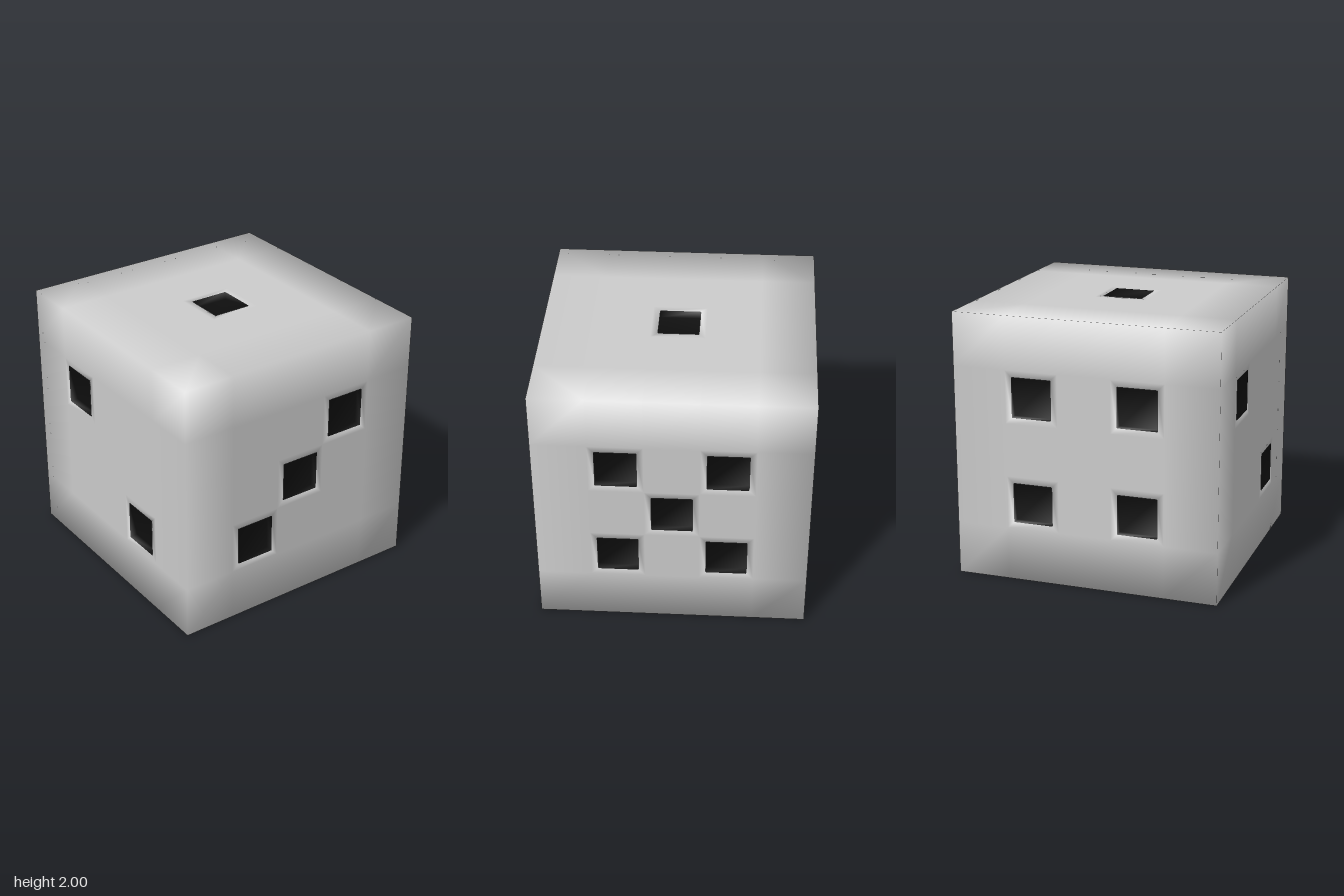
import * as THREE from 'three';
import { mergeVertices } from 'three/addons/utils/BufferGeometryUtils.js';

const GRID = [-1, -0.6, -0.2, 0.2, 0.6, 1]; // lines dividing each face into cells
const HALF = 0.15; // half the width of a pip
const DEPTH = 0.06; // depth of a pip

// Each face: right, up and outward directions, and its pips as [column, row] from -1 to 1
const FACES = [
  { u: [1, 0, 0], v: [0, 1, 0], n: [0, 0, 1], pips: [[-1, -1], [0, 0], [1, 1]] }, // front
  { u: [0, 0, -1], v: [0, 1, 0], n: [1, 0, 0], pips: [[-1, -1], [1, -1], [0, 0], [-1, 1], [1, 1]] }, // +x side
  { u: [1, 0, 0], v: [0, 0, -1], n: [0, 1, 0], pips: [[0, 0]] }, // top
  { u: [-1, 0, 0], v: [0, 1, 0], n: [0, 0, -1], pips: [[-1, -1], [1, -1], [-1, 1], [1, 1]] }, // back
  { u: [0, 0, 1], v: [0, 1, 0], n: [-1, 0, 0], pips: [[-1, 1], [1, -1]] }, // -x side
  { u: [1, 0, 0], v: [0, 0, 1], n: [0, -1, 0], pips: [[-1, -1], [-1, 0], [-1, 1], [1, -1], [1, 0], [1, 1]] }, // bottom
];

// Corners of a square, counter-clockwise as seen from outside
const square = (u0, u1, v0, v1, d) => [[u0, v0, d], [u1, v0, d], [u1, v1, d], [u0, v1, d]];

export function createModel() {
  const body = [], pips = [];

  for (const { u, v, n, pips: spots } of FACES) {
    const point = ([a, b, d]) => [0, 1, 2].map((k) => u[k] * a + v[k] * b + n[k] * d + (k === 1 ? 1 : 0));
    const quad = (out, a, b, c, d) => {
      for (const p of [a, b, c, a, c, d]) out.push(...point(p));
    };
    // Four quads joining one square loop to the next
    const bridge = (out, outer, inner) => {
      for (let i = 0; i < 4; i++) {
        const j = (i + 1) % 4;
        quad(out, outer[i], outer[j], inner[j], inner[i]);
      }
    };

    for (let i = 0; i < 5; i++) {
      for (let j = 0; j < 5; j++) {
        const cell = square(GRID[i], GRID[i + 1], GRID[j], GRID[j + 1], 1);
        if (!spots.some(([c, r]) => c === i - 2 && r === j - 2)) {
          quad(body, ...cell);
          continue;
        }
        // Flat rim, then the sunken walls and floor of the pip
        const x = (i - 2) * 0.4, y = (j - 2) * 0.4;
        const rim = square(x - HALF, x + HALF, y - HALF, y + HALF, 1);
        const floor = square(x - HALF, x + HALF, y - HALF, y + HALF, 1 - DEPTH);
        bridge(body, cell, rim);
        bridge(pips, rim, floor);
        quad(pips, ...floor);
      }
    }
  }

  // Weld everything so the shading runs smoothly over edges and pip rims
  let whole = new THREE.BufferGeometry();
  whole.setAttribute('position', new THREE.Float32BufferAttribute([...body, ...pips], 3));
  whole = mergeVertices(whole, 1e-4);
  whole.computeVertexNormals();

  // Split the welded surface into body and pips, keeping the shared normals
  const index = Array.from(whole.index.array);
  const split = body.length / 3;
  const part = (name, color, indices) => {
    const geometry = new THREE.BufferGeometry();
    geometry.setAttribute('position', whole.attributes.position);
    geometry.setAttribute('normal', whole.attributes.normal);
    geometry.setIndex(indices);
    const mesh = new THREE.Mesh(geometry, new THREE.MeshStandardMaterial({ color }));
    mesh.name = name;
    return mesh;
  };

  const model = new THREE.Group();
  model.name = 'die';
  model.add(part('dieBody', 0xcccccc, index.slice(0, split)));
  model.add(part('pips', 0x0d0d0d, index.slice(split)));
  return model;
}
